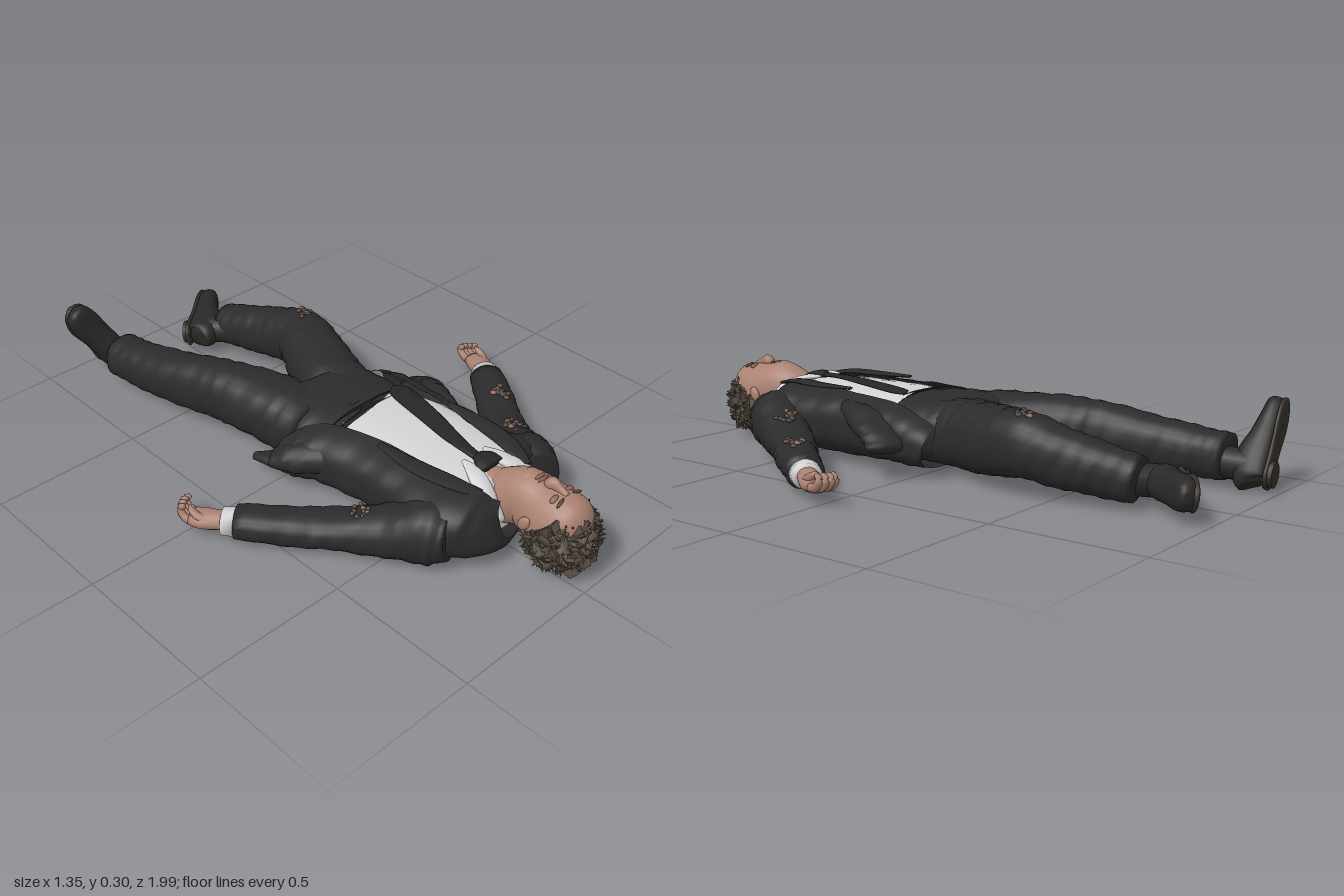
import * as THREE from 'three';
import { mergeGeometries } from 'three/addons/utils/BufferGeometryUtils.js';

const V = (x, y, z) => new THREE.Vector3(x, y, z);
const paint = (name, color, side = THREE.FrontSide) => {
  const m = new THREE.MeshStandardMaterial({ color, side });
  m.name = name;
  return m;
};

// Smooth tube through sections [x, y, z, halfWidth, halfHeight, openLeft, openRight].
// With open edges given, the top of each ring is left out between those two x offsets.
function loft(secs, { n = 20, steps = 5, e = 1, fold = 0, open = false } = {}) {
  const curve = f => new THREE.CatmullRomCurve3(secs.map(f), false, 'catmullrom', 0.5);
  const path = curve(s => V(s[0], s[1], s[2]));
  const size = curve(s => V(s[3], s[4], 0));
  const edge = curve(s => V(s[5] || 0, s[6] || 0, 0));
  const rows = (secs.length - 1) * steps, cols = open ? n + 1 : n;
  const pos = [], idx = [], pw = (v, k) => Math.sign(v) * Math.abs(v) ** k;
  for (let i = 0; i <= rows; i++) {
    const u = i / rows, c = path.getPoint(u), r = size.getPoint(u), o = edge.getPoint(u);
    const T = path.getTangent(u);
    const S = V(0, 1, 0).cross(T).normalize(), U = T.clone().cross(S);
    const ang = x => Math.acos(pw(THREE.MathUtils.clamp(x / r.x, -0.99, 0.99), 1 / e));
    const a0 = open ? ang(o.x) : 0, a1 = Math.PI * 2 + (open ? ang(o.y) : 0);
    for (let j = 0; j < cols; j++) {
      const a = a0 + (a1 - a0) * j / n;
      const w = 1 + fold * (Math.sin(i * 1.9 + 2 * Math.sin(a * 2)) + 0.6 * Math.sin(3 * a + i * 0.7));
      const p = c.clone().addScaledVector(S, r.x * w * pw(Math.cos(a), e)).addScaledVector(U, r.y * w * pw(Math.sin(a), e));
      pos.push(p.x, Math.max(p.y, 0.012), p.z);
    }
  }
  for (let i = 0; i < rows; i++) for (let j = 0; j < n; j++) {
    const k = open ? j + 1 : (j + 1) % n, a = i * cols + j, b = i * cols + k;
    idx.push(a, b, a + cols, b, b + cols, a + cols);
  }
  if (!open) for (const [row, flip] of [[0, true], [rows, false]]) {
    const c = path.getPoint(row / rows), m = pos.length / 3;
    pos.push(c.x, c.y, c.z);
    for (let j = 0; j < n; j++) {
      const a = row * n + j, b = row * n + (j + 1) % n;
      idx.push(m, flip ? b : a, flip ? a : b);
    }
  }
  const g = new THREE.BufferGeometry();
  g.setAttribute('position', new THREE.Float32BufferAttribute(pos, 3));
  g.setIndex(idx);
  g.computeVertexNormals();
  return g;
}

export function createModel() {
  const root = new THREE.Group();
  const suit = paint('suit black', 0x2b2b2b, THREE.DoubleSide);
  const trim = paint('tie black', 0x272625);
  const white = paint('shirt white', 0xd2d2d2, THREE.DoubleSide);
  const skin = paint('skin', 0xa98070);
  const shade = paint('lips and lids', 0x8f695c);
  const hairM = paint('hair brown', 0x574d42);
  const leather = paint('shoe leather', 0x2b2927);
  const soleM = paint('sole brown', 0x36312c);
  const worn = paint('worn cloth', 0x54473e);
  const add = (name, geo, mat, parent = root) => {
    const m = new THREE.Mesh(geo, mat);
    m.name = name;
    parent.add(m);
    return m;
  };
  const blob = (name, mat, p, r, rot = [0, 0, 0]) => {
    const m = add(name, new THREE.SphereGeometry(1, 14, 10), mat);
    m.position.set(...p); m.scale.set(...r); m.rotation.set(...rot);
  };
  let seed = 7;
  const rnd = () => (seed = (seed * 16807) % 2147483647) / 2147483647;

  // Shirt and open jacket
  add('shirt', loft([
    [0.02, 0.15, 0.68, 0.1, 0.08], [0.01, 0.13, 0.6, 0.2, 0.105], [0, 0.13, 0.45, 0.22, 0.112],
    [0, 0.13, 0.28, 0.21, 0.112], [-0.02, 0.13, 0.12, 0.2, 0.106]], { n: 36, e: 0.75, fold: 0.011 }), white);
  add('jacket', loft([
    [0.02, 0.14, 0.71, 0.1, 0.075, -0.08, 0.07], [0.01, 0.13, 0.675, 0.215, 0.1, -0.11, 0.09],
    [0, 0.13, 0.6, 0.262, 0.115, -0.105, 0.1], [0, 0.13, 0.45, 0.25, 0.118, -0.125, 0.12],
    [0, 0.13, 0.3, 0.245, 0.118, -0.155, 0.13], [-0.01, 0.128, 0.14, 0.265, 0.114, -0.18, 0.155],
    [-0.02, 0.115, 0.04, 0.29, 0.1, -0.21, 0.19], [-0.03, 0.1, -0.02, 0.29, 0.086, -0.24, 0.24]],
  { n: 44, e: 0.72, fold: 0.012, open: true }), suit);
  add('leftJacketFlap', loft([[0.19, 0.19, 0.3, 0.03, 0.03], [0.23, 0.165, 0.18, 0.06, 0.045],
    [0.28, 0.135, 0.08, 0.065, 0.035], [0.325, 0.11, 0.025, 0.055, 0.018]], { fold: 0.05 }), suit);
  add('rightJacketFlap', loft([[-0.21, 0.15, 0.2, 0.04, 0.05], [-0.27, 0.13, 0.08, 0.06, 0.05],
    [-0.31, 0.11, 0.01, 0.05, 0.025]], { fold: 0.04 }), suit);
  add('jacketTail', loft([[-0.24, 0.07, 0.05, 0.05, 0.02], [-0.27, 0.06, -0.03, 0.04, 0.02],
    [-0.3, 0.05, -0.1, 0.015, 0.012]]), suit);

  // Lapels, collar and tie
  for (const [name, s] of [['leftLapel', 1], ['rightLapel', -1]]) {
    add(name, loft([[s * 0.1 + 0.01, 0.225, 0.67, 0.02, 0.006], [s * 0.133, 0.243, 0.58, 0.032, 0.007],
      [s * 0.152, 0.243, 0.46, 0.031, 0.007], [s * 0.154, 0.246, 0.32, 0.012, 0.005]], { n: 10 }), suit);
    add('collar', loft([[0.02 + s * 0.082, 0.13, 0.705, 0.025, 0.035], [0.02 + s * 0.085, 0.2, 0.67, 0.03, 0.025],
      [0.01 + s * 0.058, 0.24, 0.61, 0.028, 0.012], [0.01 + s * 0.045, 0.25, 0.55, 0.008, 0.005]], { n: 12 }), white);
  }
  add('tie', loft([[0.015, 0.25, 0.59, 0.02, 0.012], [0.01, 0.25, 0.555, 0.018, 0.008], [0.025, 0.252, 0.45, 0.028, 0.006],
    [0.055, 0.251, 0.33, 0.036, 0.006], [0.092, 0.246, 0.17, 0.038, 0.006], [0.1, 0.242, 0.13, 0.012, 0.005]], { n: 10 }), trim);
  add('tieKnot', loft([[0.015, 0.243, 0.62, 0.05, 0.013], [0.015, 0.25, 0.59, 0.046, 0.014], [0.012, 0.25, 0.56, 0.02, 0.01]], { n: 10 }), trim);

  // Trousers: seat, waistband and two legs
  add('seat', loft([[-0.02, 0.13, 0.16, 0.205, 0.106], [-0.025, 0.13, 0.05, 0.215, 0.112],
    [-0.035, 0.13, -0.04, 0.21, 0.111], [-0.035, 0.13, -0.1, 0.18, 0.1], [-0.03, 0.13, -0.135, 0.1, 0.07]],
  { n: 32, e: 0.78, fold: 0.01 }), suit);
  add('waistband', loft([[-0.02, 0.13, 0.15, 0.208, 0.109], [-0.02, 0.13, 0.125, 0.209, 0.111]], { n: 32, e: 0.75, steps: 1 }), suit);
  add('buckle', new THREE.BoxGeometry(0.035, 0.006, 0.008), worn).position.set(-0.05, 0.24, 0.1);
  add('rightTrouserLeg', loft([[-0.14, 0.13, 0.02, 0.105, 0.1], [-0.145, 0.13, -0.12, 0.118, 0.112],
    [-0.19, 0.137, -0.3, 0.1, 0.105], [-0.225, 0.13, -0.42, 0.086, 0.1], [-0.265, 0.112, -0.6, 0.084, 0.086],
    [-0.285, 0.1, -0.74, 0.076, 0.078], [-0.29, 0.095, -0.83, 0.077, 0.074]], { n: 24, e: 0.9, steps: 7, fold: 0.022 }), suit);
  add('leftTrouserLeg', loft([[0.06, 0.13, 0.02, 0.105, 0.1], [0.075, 0.135, -0.13, 0.113, 0.112],
    [0.135, 0.145, -0.28, 0.108, 0.108], [0.175, 0.157, -0.4, 0.093, 0.1], [0.165, 0.132, -0.52, 0.085, 0.09],
    [0.14, 0.11, -0.64, 0.075, 0.08], [0.118, 0.09, -0.75, 0.068, 0.07]], { n: 24, e: 0.9, steps: 7, fold: 0.022 }), suit);

  // Shoes: heel at the group's origin, toe along its +z
  const shoe = (name, heel, toe, top) => {
    const g = new THREE.Group();
    g.name = name;
    const Z = V(...toe).normalize(), X = V(...top).cross(Z).normalize(), Y = Z.clone().cross(X);
    g.setRotationFromMatrix(new THREE.Matrix4().makeBasis(X, Y, Z));
    g.position.set(...heel);
    add('upper', loft([[0, 0.06, 0, 0.025, 0.035], [0, 0.068, 0.02, 0.048, 0.056], [0, 0.07, 0.085, 0.05, 0.06],
      [0, 0.058, 0.15, 0.05, 0.047], [0, 0.048, 0.215, 0.053, 0.037], [0, 0.044, 0.265, 0.041, 0.03],
      [0, 0.04, 0.284, 0.016, 0.017]], { n: 18, e: 0.85 }), leather, g);
    add('sole', loft([[0, 0.018, -0.003, 0.02, 0.009], [0, 0.018, 0.025, 0.046, 0.009], [0, 0.018, 0.11, 0.042, 0.009],
      [0, 0.018, 0.205, 0.054, 0.009], [0, 0.02, 0.263, 0.041, 0.009], [0, 0.022, 0.286, 0.012, 0.008]], { n: 14, e: 0.7 }), soleM, g);
    add('heelBlock', new THREE.CylinderGeometry(0.042, 0.04, 0.02, 14), soleM, g).position.set(0, 0.009, 0.042);
    add('ankle', new THREE.CylinderGeometry(0.05, 0.05, 0.12, 16), leather, g).position.set(0, 0.12, 0.058);
    root.add(g);
  };
  shoe('rightShoe', [-0.265, 0.025, -0.985], [-0.5, 0.85, 0.02], [0.1, 0.05, 1]);
  shoe('leftShoe', [-0.045, 0.067, -0.808], [0.78, 0.06, -0.63], [0.63, 0.1, 0.78]);

  // Arms, cuffs and palm-up hands with loosely curled fingers
  for (const [name, s] of [['left', 1], ['right', -1]]) {
    add(name + 'Sleeve', loft([[s * 0.195, 0.12, 0.655, 0.075, 0.08], [s * 0.225, 0.115, 0.59, 0.092, 0.1],
      [s * 0.29, 0.09, 0.485, 0.082, 0.077], [s * 0.375, 0.074, 0.365, 0.073, 0.058], [s * 0.46, 0.07, 0.265, 0.067, 0.054],
      [s * 0.565, 0.067, 0.13, 0.058, 0.05]], { n: 22, steps: 6, e: 0.92, fold: 0.025 }), suit);
    add(name + 'Cuff', loft([[s * 0.555, 0.067, 0.145, 0.05, 0.044], [s * 0.59, 0.065, 0.098, 0.047, 0.041]], { n: 18, steps: 2 }), white);
    const hand = new THREE.Group();
    hand.name = name + 'Hand';
    root.add(hand);
    add('palm', loft([[s * 0.58, 0.066, 0.11, 0.031, 0.028], [s * 0.6, 0.064, 0.08, 0.035, 0.029],
      [s * 0.62, 0.06, 0.045, 0.041, 0.028], [s * 0.636, 0.058, 0.01, 0.037, 0.022]], { n: 14 }), skin, hand);
    for (let k = 0; k < 4; k++) {
      const off = (k - 1.5) * 0.016, len = 0.062 - Math.abs(k - 1.4) * 0.007;
      const x = s * (0.632 + off * 0.85), z = 0.015 + off * 0.5;
      add('finger', loft([[x, 0.056, z + 0.01, 0.012, 0.015], [x + s * 0.008, 0.06, z - len * 0.55, 0.0115, 0.014],
        [x + s * 0.008, 0.083, z - len * 0.9, 0.011, 0.013], [x + s * 0.004, 0.1, z - len * 0.6, 0.007, 0.008]],
      { n: 8, steps: 3 }), skin, hand);
    }
    add('thumb', loft([[s * 0.616, 0.066, 0.075, 0.015, 0.017], [s * 0.64, 0.075, 0.048, 0.014, 0.015],
      [s * 0.646, 0.09, 0.02, 0.011, 0.012], [s * 0.642, 0.1, 0.005, 0.005, 0.005]], { n: 8, steps: 3 }), skin, hand);
  }

  // Frayed tears: loose clusters of small flat scraps, tilted to the cloth
  const tear = (name, x, y, z, slope, r) => {
    for (let i = 0; i < 11; i++) {
      const dx = (rnd() - 0.5) * r * 1.7, dz = (rnd() - 0.5) * r * 2;
      blob(name, i % 4 === 3 ? shade : worn, [x + dx, y + dx * slope, z + dz], [r * 0.32, 0.007, r * 0.26], [0, rnd() * 3, slope]);
    }
  };
  tear('kneeTear', 0.19, 0.255, -0.41, -0.15, 0.032);
  tear('sleeveTear', 0.47, 0.124, 0.28, -0.1, 0.038);
  tear('sleeveTear', 0.31, 0.16, 0.455, -0.3, 0.036);
  tear('sleeveTear', -0.33, 0.149, 0.42, 0.3, 0.026);

  // Head thrown back, face up
  add('headAndNeck', loft([[0.015, 0.15, 0.57, 0.06, 0.08], [0.02, 0.155, 0.66, 0.07, 0.085], [0.03, 0.18, 0.715, 0.073, 0.09],
    [0.035, 0.185, 0.745, 0.078, 0.097], [0.04, 0.175, 0.79, 0.086, 0.1], [0.04, 0.16, 0.85, 0.094, 0.111],
    [0.04, 0.15, 0.905, 0.086, 0.108], [0.04, 0.14, 0.945, 0.05, 0.06]], { n: 28 }), skin);
  add('nose', loft([[0.04, 0.266, 0.8, 0.012, 0.01], [0.04, 0.276, 0.812, 0.02, 0.017], [0.04, 0.28, 0.826, 0.017, 0.02],
    [0.04, 0.272, 0.85, 0.011, 0.014], [0.04, 0.264, 0.875, 0.01, 0.01]], { n: 12 }), skin);
  blob('upperLip', shade, [0.04, 0.276, 0.786], [0.024, 0.005, 0.005]);
  blob('lowerLip', shade, [0.04, 0.279, 0.774], [0.021, 0.005, 0.006]);
  blob('chin', skin, [0.037, 0.262, 0.742], [0.035, 0.024, 0.025]);
  for (const s of [1, -1]) {
    blob('eyelid', shade, [0.04 + s * 0.036, 0.262, 0.856], [0.017, 0.007, 0.009], [0, 0, -s * 0.35]);
    blob('eyebrow', hairM, [0.04 + s * 0.038, 0.263, 0.88], [0.02, 0.005, 0.005], [0, -s * 0.15, -s * 0.35]);
    blob('ear', skin, [0.04 + s * 0.09, 0.17, 0.8], [0.012, 0.028, 0.018], [0.5, 0, 0]);
  }

  // Hair: a cap left open at the face, with tousled tufts lying over it
  blob('hairCap', hairM, [0.04, 0.128, 0.872], [0.106, 0.113, 0.107]);
  const tufts = [], N = 460;
  for (let i = 0; i < N; i++) {
    const y = 1 - 2 * (i + 0.5) / N, q = Math.sqrt(1 - y * y), a = i * 2.39996;
    const d = V(Math.cos(a) * q, y, Math.sin(a) * q);
    if (d.y > 0.55 + 0.5 * d.z || (d.z < -0.6 && d.y > -0.2)) continue;
    const t = new THREE.ConeGeometry(0.019 + rnd() * 0.008, 0.045 + rnd() * 0.02, 5);
    const lean = d.clone().add(V(rnd() - 0.5, rnd() - 0.5, rnd() - 0.5).multiplyScalar(2.2)).normalize();
    t.applyQuaternion(new THREE.Quaternion().setFromUnitVectors(V(0, 1, 0), lean));
    t.translate(0.04 + d.x * 0.098, Math.max(0.13 + d.y * 0.108, 0.037), 0.868 + d.z * 0.102);
    tufts.push(t);
  }
  add('hairTufts', mergeGeometries(tufts), hairM);
  return root;
}
